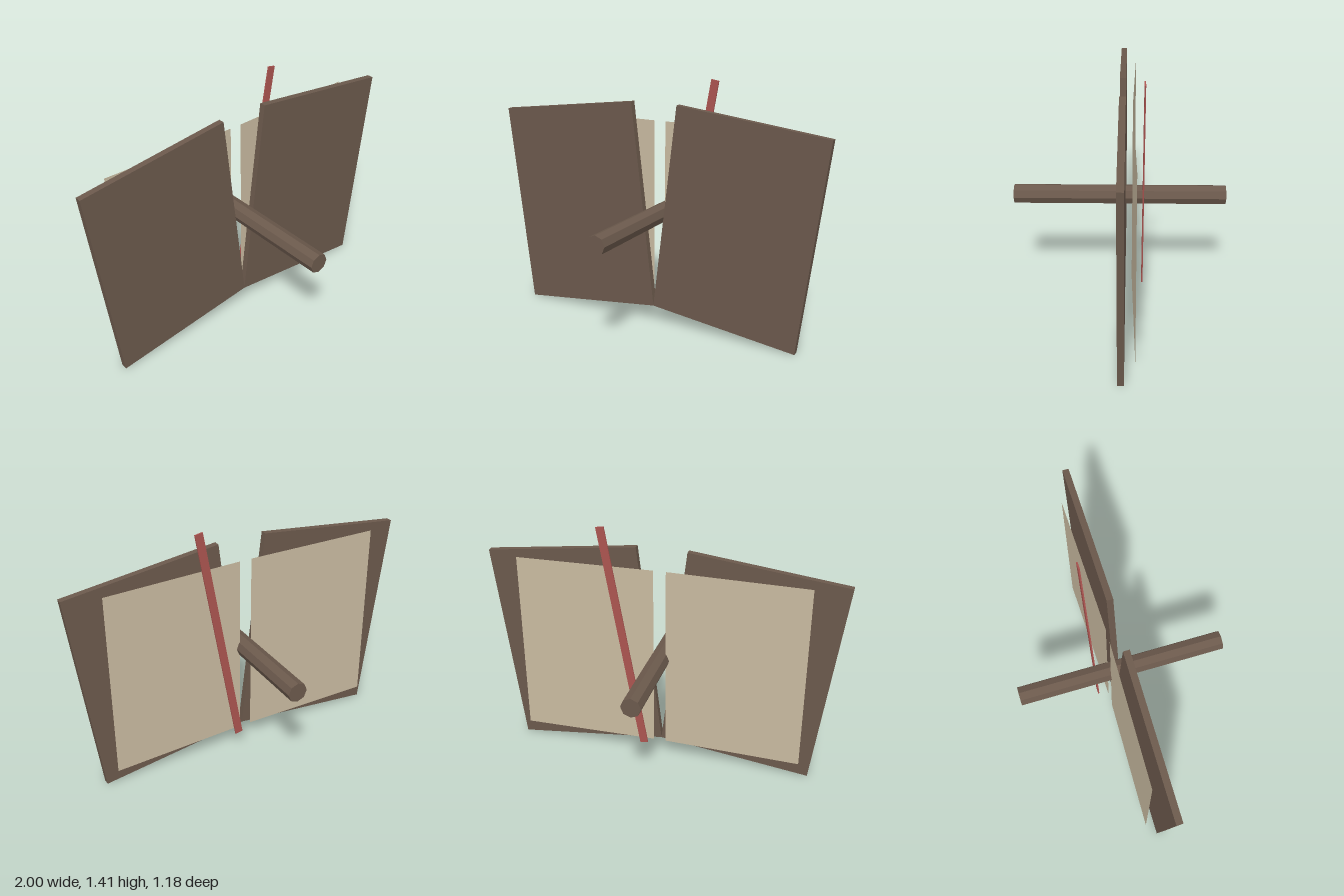
import * as THREE from 'three';

export function createModel() {
  const model = new THREE.Group();
  const leather = new THREE.MeshStandardMaterial({ color: 0x6b594c, flatShading: true });
  leather.name = 'brown leather';
  const paper = new THREE.MeshStandardMaterial({ color: 0xc8baa0, side: THREE.DoubleSide });
  paper.name = 'aged paper';
  const ribbonRed = new THREE.MeshStandardMaterial({ color: 0xab5450 });
  ribbonRed.name = 'ribbon red';

  const add = (name, geometry, material, x, y, z) => {
    const mesh = new THREE.Mesh(geometry, material);
    mesh.name = name;
    mesh.position.set(x, y, z);
    model.add(mesh);
    return mesh;
  };

  // Tilted covers and thin page sheets, mirrored across the middle
  for (const [side, s] of [['left', 1], ['right', -1]]) {
    const cover = add(`${side}Cover`, new THREE.BoxGeometry(0.866, 1.18, 0.035), leather,
      s * 0.5, 0.64, -0.015);
    cover.rotation.z = -s * 0.12;

    const page = add(`${side}Page`, new THREE.PlaneGeometry(0.775, 1.06), paper,
      s * 0.422, 0.642, -0.079);
    page.rotation.y = s * 0.025; // outer edge leans to the back
  }

  // Eight-sided spine rod running front to back
  const spine = add('spine', new THREE.CylinderGeometry(0.055, 0.055, 1.18, 8), leather,
    0, 0.642, 0);
  spine.rotation.x = Math.PI / 2;

  // Slanted bookmark ribbon behind the left page
  const ribbon = add('bookmarkRibbon', new THREE.BoxGeometry(0.045, 1.305, 0.008), ribbonRed,
    0.19, 0.765, -0.128);
  ribbon.rotation.z = -0.175;

  return model;
}
